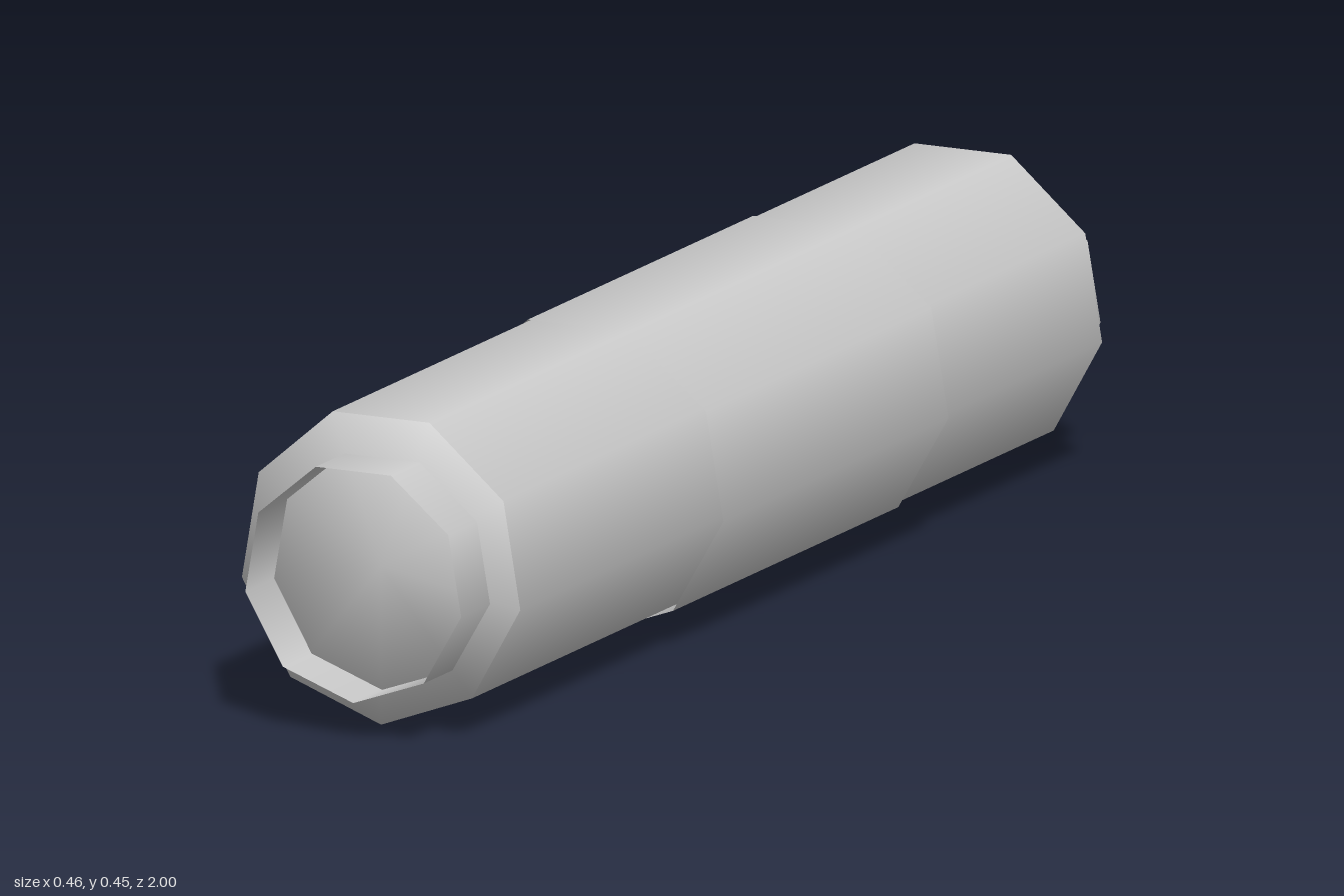
import * as THREE from 'three';

const SIDES = 9;
const AXIS_Y = 0.2345;

export function createModel() {
  const group = new THREE.Group();
  const solid = new THREE.MeshStandardMaterial({ color: 0xcccccc });
  const thin = new THREE.MeshStandardMaterial({ color: 0xcccccc, side: THREE.DoubleSide });

  const add = (name, geometry, material, x, y, z) => {
    const mesh = new THREE.Mesh(geometry, material);
    mesh.name = name;
    mesh.position.set(x, y, z);
    group.add(mesh);
    return mesh;
  };

  // open nine-sided tube along z, one corner pointing down
  const tube = (radius, back, front) =>
    new THREE.CylinderGeometry(radius, radius, front - back, SIDES, 1, true)
      .rotateX(Math.PI / 2)
      .translate(0, 0, (front + back) / 2);

  // flat end disc whose rim normals lean outward for soft shading
  const endDisc = (radius) => {
    const disc = new THREE.CircleGeometry(radius, SIDES, -Math.PI / 2);
    const p = disc.attributes.position;
    const n = new THREE.Vector3();
    for (let i = 1; i < p.count; i++) {
      n.set(p.getX(i) / radius, p.getY(i) / radius, 0.6).normalize();
      disc.attributes.normal.setXYZ(i, n.x, n.y, n.z);
    }
    return disc;
  };

  // main body, slightly narrower than tall
  const bodyR = 0.2315, squash = 0.972, shift = -0.0035;
  add('body', tube(bodyR, -0.91, 0.91).scale(squash, 1, 1), solid, shift, AXIS_Y, 0);
  add('frontCap', endDisc(bodyR).scale(squash, 1, 1), solid, shift, AXIS_Y, 0.91);
  add('backCap', endDisc(bodyR).scale(-squash, 1, -1).rotateZ(0), thin, shift, AXIS_Y, -0.91);

  // open inner tube standing out at both ends
  add('innerTube', tube(0.1745, -1, 1), thin, -0.002, 0.2285, 0);

  // sleeve wrapped around the middle
  add('sleeve', tube(0.2345, -0.405, 0.3), thin, 0, AXIS_Y, 0);

  return group;
}
